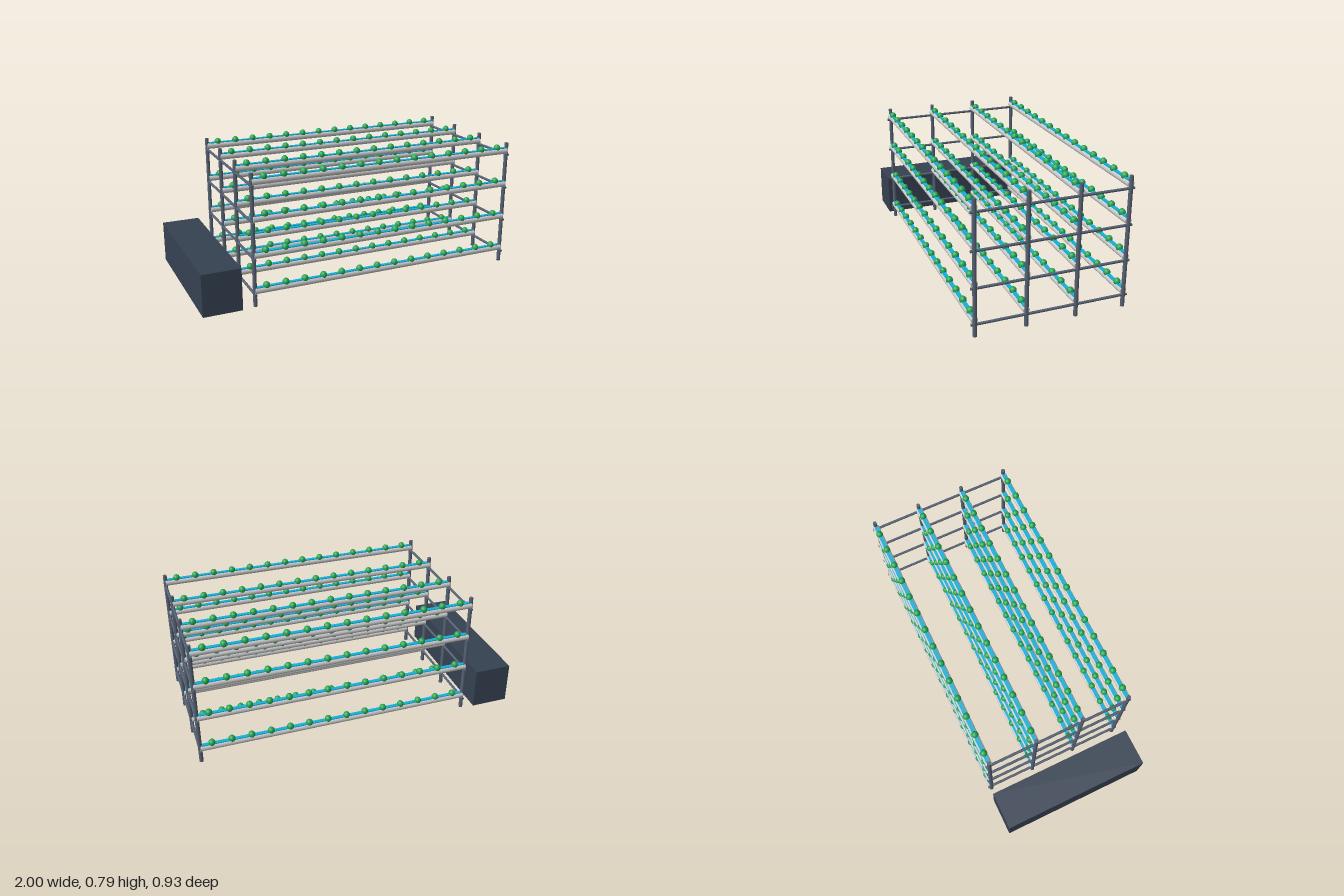
import * as THREE from 'three';

const material = (color) => new THREE.MeshStandardMaterial({ color });

export function createModel() {
  const model = new THREE.Group();
  const steel = material(0x566274);
  const white = material(0xf1f0ee);
  const blue = material(0x12b0d8);
  const green = material(0x22a652);
  const dark = material(0x364152);

  const xLeft = 0.988, xRight = -0.688;
  const xMid = (xLeft + xRight) / 2, span = xLeft - xRight;
  const rows = [-0.443, -0.148, 0.148, 0.443];
  const tiers = [0.072, 0.287, 0.502, 0.717];
  const postHeight = 0.79, plantCount = 14, plantStep = 0.118;

  const add = (parent, name, geometry, mat, x, y, z) => {
    const mesh = new THREE.Mesh(geometry, mat);
    mesh.name = name;
    mesh.position.set(x, y, z);
    parent.add(mesh);
    return mesh;
  };

  const postGeo = new THREE.CylinderGeometry(0.012, 0.012, postHeight, 12);
  const barGeo = new THREE.CylinderGeometry(0.008, 0.008, 0.93, 10).rotateX(Math.PI / 2);
  const pipeGeo = new THREE.CylinderGeometry(0.02, 0.02, span, 16).rotateZ(Math.PI / 2);
  const waterGeo = new THREE.BoxGeometry(span - 0.02, 0.008, 0.023);
  const plantGeo = new THREE.SphereGeometry(0.021, 12, 8).scale(1, 1.08, 1);

  // End frames: upright posts joined by a crossbar at each tier
  for (const x of [xRight, xLeft]) {
    const frame = new THREE.Group();
    frame.name = x > 0 ? 'leftEndFrame' : 'rightEndFrame';
    for (const z of rows) add(frame, 'post', postGeo, steel, x, postHeight / 2, z);
    for (const y of tiers) add(frame, 'crossbar', barGeo, steel, x, y, 0);
    model.add(frame);
  }

  // Growing channels: pipe, water strip along its top, and a row of plants
  for (const y of tiers) {
    for (const z of rows) {
      const channel = new THREE.Group();
      channel.name = 'growingChannel';
      channel.position.set(xMid, y + 0.023, z);
      add(channel, 'pipe', pipeGeo, white, 0, 0, 0);
      add(channel, 'waterStrip', waterGeo, blue, 0, 0.0172, 0);
      for (let i = 0; i < plantCount; i++) {
        add(channel, 'plant', plantGeo, green, (i - (plantCount - 1) / 2) * plantStep, 0.0235, 0);
      }
      model.add(channel);
    }
  }

  // Reservoir tank beside the rack
  add(model, 'reservoirTank', new THREE.BoxGeometry(0.232, 0.256, 0.93), dark, -0.884, 0.128, 0);

  return model;
}
